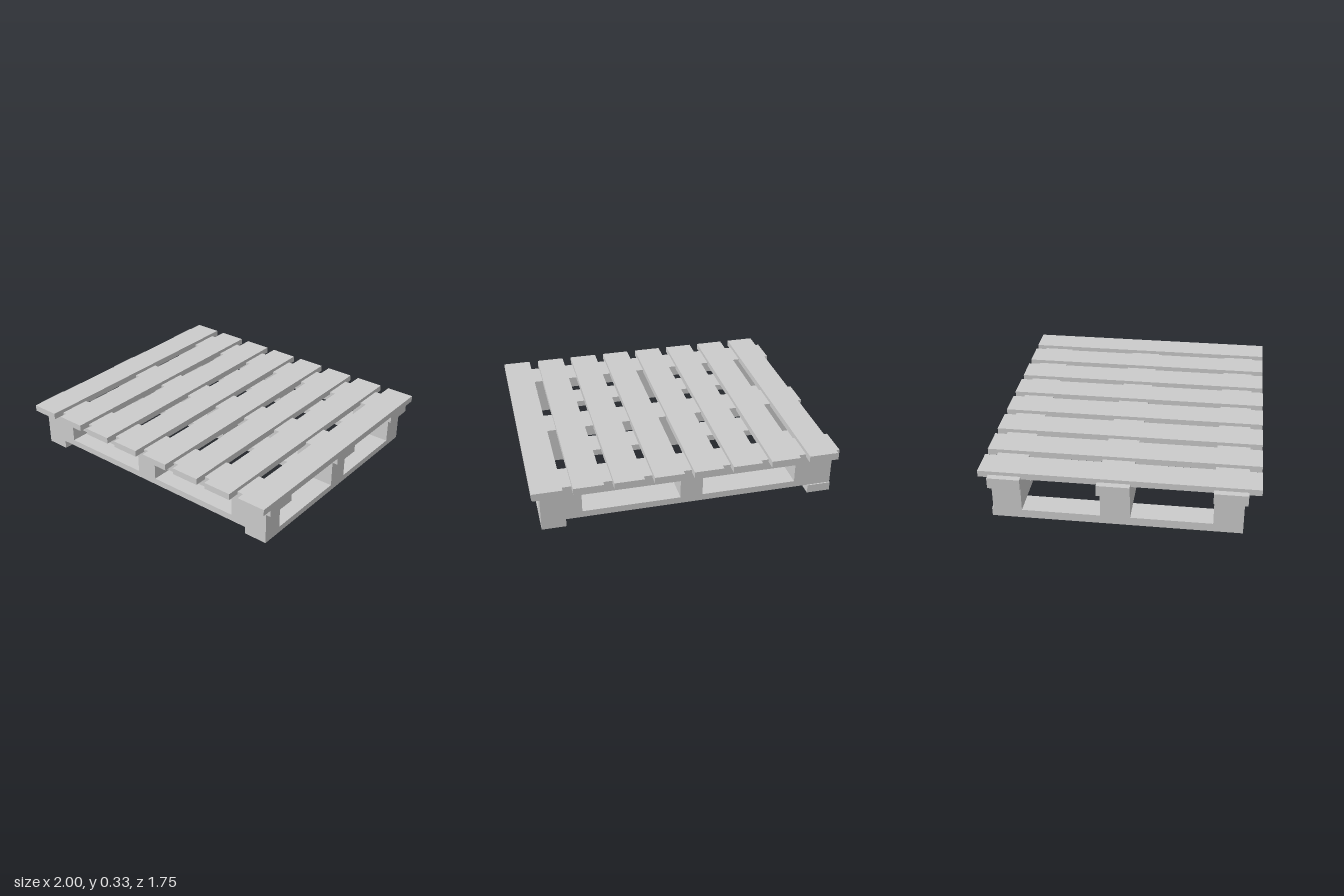
import * as THREE from 'three';

export function createModel() {
  const pallet = new THREE.Group();
  pallet.name = 'pallet';
  const wood = new THREE.MeshStandardMaterial({ color: 0xcccccc, flatShading: true });

  // Box given by its extents along each axis
  function board(name, [x0, x1], [y0, y1], [z0, z1]) {
    const mesh = new THREE.Mesh(new THREE.BoxGeometry(x1 - x0, y1 - y0, z1 - z0), wood);
    mesh.position.set((x0 + x1) / 2, (y0 + y1) / 2, (z0 + z1) / 2);
    mesh.name = name;
    pallet.add(mesh);
  }

  // Deck: eight evenly spaced slats running front to back
  for (let i = 0; i < 8; i++) {
    const x = -0.96 + i * 0.2525;
    board('deckSlat', [x, x + 0.19], [0.29, 0.332], [-0.874, 0.874]);
  }

  // Three rows, each with a stringer, a low runner and its blocks
  const rows = [
    { stringer: [0.585, 0.795], wide: [0.59, 0.775], post: [0.635, 0.775] },
    { stringer: [-0.13, 0.077], wide: [-0.113, 0.075], post: [-0.09, 0.06] },
    { stringer: [-0.808, -0.602], wide: [-0.793, -0.61], post: [-0.802, -0.655] },
  ];
  for (const { stringer, wide, post } of rows) {
    board('stringer', [-1, 0.99], [0.235, 0.308], stringer);
    board('runner', [-0.96, 0.79], [0.057, 0.1], wide);
    board('rightBlock', [-0.96, -0.71], [0.1, 0.235], wide);
    board('centreBlock', [-0.09, 0.055], [0.1, 0.235], wide);
    board('leftBlock', [0.685, 0.79], [0.1, 0.235], wide);
    board('endPost', [0.79, 0.945], [0.05, 0.235], post);
  }

  // Ground skids at both ends
  board('rightSkid', [-0.96, -0.805], [0, 0.057], [-0.802, 0.775]);
  board('leftSkid', [0.79, 0.945], [0.01, 0.05], [-0.802, 0.775]);

  return pallet;
}
